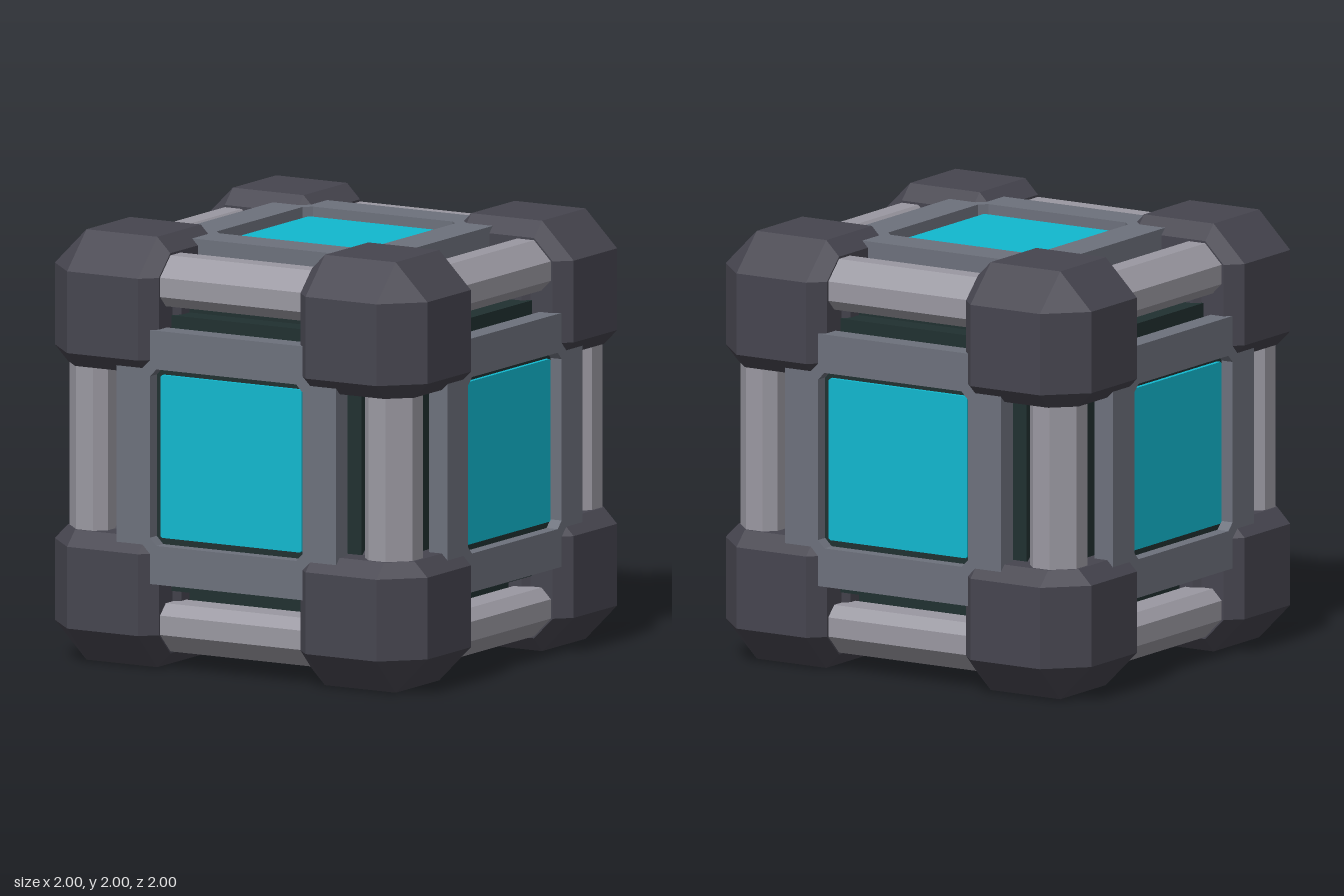
import * as THREE from 'three';
import { ConvexGeometry } from 'three/addons/geometries/ConvexGeometry.js';

const material = (name, color) => {
  const m = new THREE.MeshStandardMaterial({ color });
  m.name = name;
  return m;
};

// Square outline with clipped corners
function clippedSquare(half, clip, Type) {
  const a = half, b = half - clip;
  return new Type([[b, -a], [a, -b], [a, b], [b, a], [-b, a], [-a, b], [-a, -b], [-b, -a]]
    .map(([x, y]) => new THREE.Vector2(x, y)));
}

// Moves a value into one of the three axes
const onAxis = (axis, a, b, c) => [[a, b, c], [c, a, b], [b, c, a]][axis];

// Bevelled cube between lo and hi in the + + + corner, as hull points
function cornerPoints(lo, hi, inner, outer) {
  const pts = [];
  const l = lo + inner, h = hi - outer, t = hi - inner;
  for (let axis = 0; axis < 3; axis++) {
    for (const [b, c] of [[l, l], [l, h], [h, l], [h, h]]) pts.push(onAxis(axis, hi, b, c));
    for (const [b, c] of [[l, l], [l, t], [t, l], [t, h], [h, t]]) pts.push(onAxis(axis, lo, b, c));
  }
  return pts;
}

export function createModel() {
  const model = new THREE.Group();
  model.name = 'armouredCube';
  const block = material('charcoal', 0x46454f);
  const steel = material('light steel', 0x9a98a1);
  const slate = material('slate grey', 0x6d717c);
  const dark = material('dark green black', 0x203030);
  const cyan = material('cyan', 0x11b8cf);

  const body = new THREE.Group();
  body.position.y = 1;
  model.add(body);

  const add = (parent, name, geometry, mat, z = 0) => {
    const mesh = new THREE.Mesh(geometry, mat);
    mesh.name = name;
    mesh.position.z = z;
    parent.add(mesh);
    return mesh;
  };
  const hull = (name, pts, signs, mat) => add(body, name, new ConvexGeometry(
    pts.map(p => new THREE.Vector3(...p.map((v, i) => v * signs[i])))), mat);

  // Inner core
  add(body, 'core', new THREE.BoxGeometry(1.42, 1.42, 1.42), dark);

  // Eight corner guards, each with a smaller collar on its inner side
  const guard = cornerPoints(0.38, 1, 0.07, 0.17);
  const collar = cornerPoints(0.35, 0.82, 0.04, 0.08);
  for (const x of [-1, 1]) for (const y of [-1, 1]) for (const z of [-1, 1]) {
    hull('cornerGuard', guard, [x, y, z], block);
    hull('cornerCollar', collar, [x, y, z], block);
  }

  // Twelve edge bars with an eight-sided section
  const section = [[0.92, 0.74], [0.92, 0.83], [0.83, 0.92], [0.74, 0.92],
    [0.69, 0.87], [0.69, 0.74], [0.74, 0.69], [0.87, 0.69]];
  for (let axis = 0; axis < 3; axis++) {
    const pts = section.flatMap(([b, c]) => [-0.42, 0.42].map(a => onAxis(axis, a, b, c)));
    for (const s of [-1, 1]) for (const t of [-1, 1]) {
      hull('edgeBar', pts, onAxis(axis, 1, s, t), steel);
    }
  }

  // Six framed panels
  const outline = clippedSquare(0.59, 0.01, THREE.Shape);
  outline.holes.push(clippedSquare(0.41, 0.035, THREE.Path));
  const frameGeo = new THREE.ExtrudeGeometry(outline, { depth: 0.1, bevelEnabled: false });
  const stepGeo = new THREE.BoxGeometry(1.28, 1.28, 0.12);
  const floorGeo = new THREE.BoxGeometry(0.9, 0.9, 0.04);
  const screenGeo = new THREE.ExtrudeGeometry(clippedSquare(0.378, 0.008, THREE.Shape),
    { depth: 0.02, bevelEnabled: false });
  const q = Math.PI / 2;
  for (const [name, rx, ry] of [['front', 0, 0], ['left', 0, q], ['back', 0, 2 * q],
    ['right', 0, -q], ['top', -q, 0], ['bottom', q, 0]]) {
    const panel = new THREE.Group();
    panel.name = name + 'Panel';
    panel.rotation.set(rx, ry, 0);
    add(panel, 'panelStep', stepGeo, dark, 0.76);
    add(panel, 'panelFloor', floorGeo, dark, 0.88);
    add(panel, 'panelFrame', frameGeo, slate, 0.86);
    add(panel, 'panelScreen', screenGeo, cyan, 0.9);
    body.add(panel);
  }
  return model;
}
